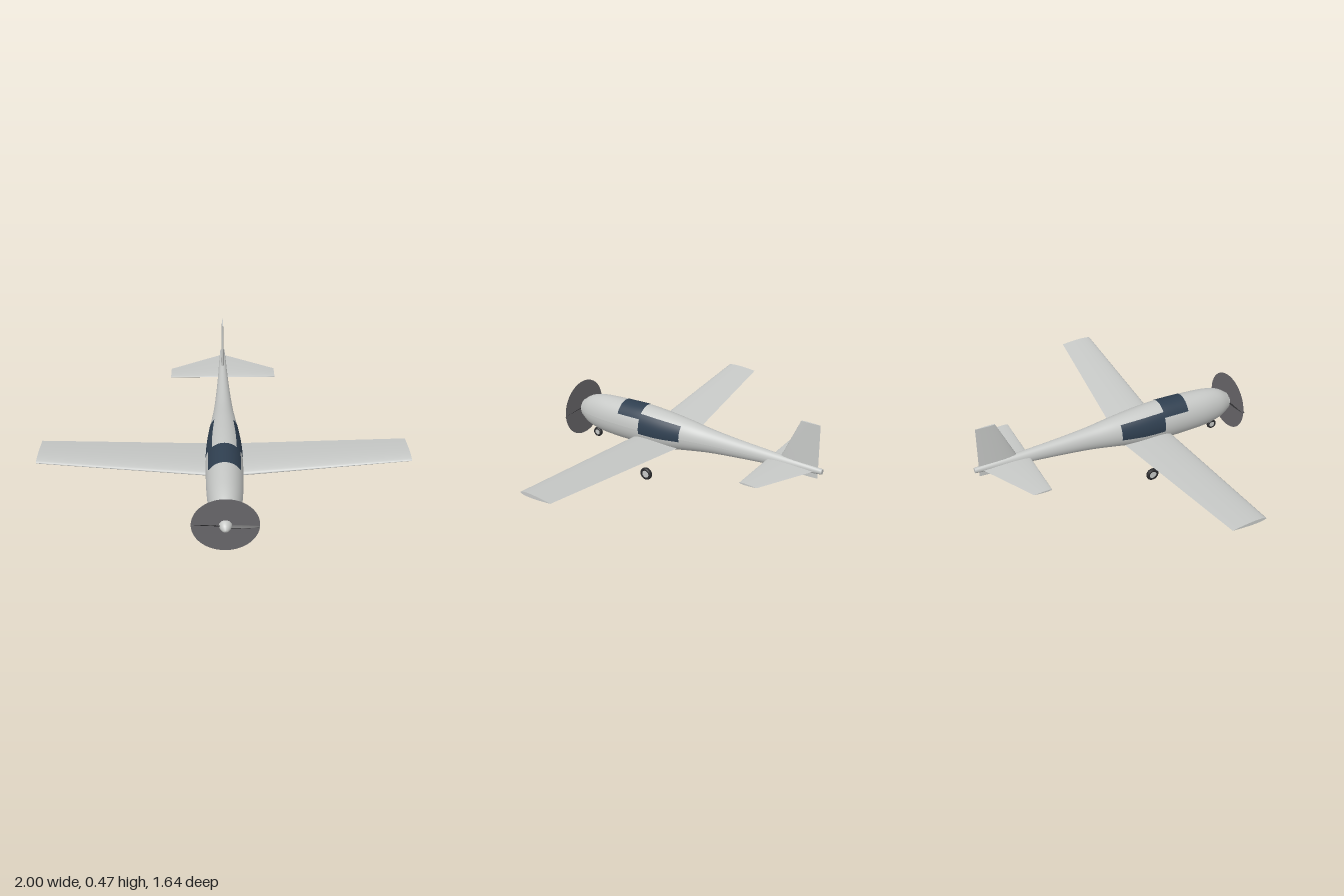
import * as THREE from 'three';
import { mergeGeometries } from 'three/addons/utils/BufferGeometryUtils.js';

const paint = (name, color, side = THREE.FrontSide) => {
  const m = new THREE.MeshStandardMaterial({ color, side });
  m.name = name;
  return m;
};

// Smooth surface through a grid of points from fn(u, v)
function surface(fn, nu, nv) {
  const pos = [], idx = [];
  for (let i = 0; i <= nu; i++)
    for (let j = 0; j <= nv; j++) pos.push(...fn(i / nu, j / nv));
  for (let i = 0; i < nu; i++)
    for (let j = 0; j < nv; j++) {
      const a = i * (nv + 1) + j, b = a + nv + 1;
      idx.push(a, b, a + 1, b, b + 1, a + 1);
    }
  const g = new THREE.BufferGeometry();
  g.setAttribute('position', new THREE.Float32BufferAttribute(pos, 3));
  g.setIndex(idx);
  g.computeVertexNormals();
  return g;
}

// Fuselage stations: z, top, bottom, half width
const STATIONS = [
  [0.765, 0.228, 0.122, 0.042], [0.71, 0.267, 0.089, 0.068], [0.64, 0.289, 0.071, 0.084],
  [0.55, 0.299, 0.063, 0.094], [0.38, 0.306, 0.062, 0.1], [0.29, 0.308, 0.064, 0.1],
  [0.16, 0.301, 0.073, 0.095], [0, 0.286, 0.104, 0.077], [-0.15, 0.268, 0.13, 0.057],
  [-0.325, 0.255, 0.15, 0.042], [-0.5, 0.246, 0.167, 0.031], [-0.68, 0.237, 0.182, 0.022],
  [-0.82, 0.228, 0.198, 0.014],
];

// Point on the fuselage skin at station z and angle a, pushed out by lift
function skin(z, a, lift = 0) {
  const S = STATIONS, last = S.length - 1;
  let k = 0;
  while (k < last - 1 && z < S[k + 1][0]) k++;
  const h = S[k + 1][0] - S[k][0], t = (z - S[k][0]) / h;
  const slope = (i, c) => {
    const p = S[Math.max(i - 1, 0)], n = S[Math.min(i + 1, last)];
    return (n[c] - p[c]) / (n[0] - p[0]);
  };
  const at = (c) => {
    const t2 = t * t, t3 = t2 * t;
    return (2 * t3 - 3 * t2 + 1) * S[k][c] + (t3 - 2 * t2 + t) * h * slope(k, c)
      + (3 * t2 - 2 * t3) * S[k + 1][c] + (t3 - t2) * h * slope(k + 1, c);
  };
  const top = at(1), bottom = at(2);
  return [Math.cos(a) * (at(3) + lift), (top + bottom) / 2 + Math.sin(a) * ((top - bottom) / 2 + lift), z];
}

// Aerofoil loft; sections are [span x, height y, front z, back z, thickness]
function foil(sections) {
  const N = 28;
  const point = ([x, y, front, back, thick], v) => {
    const s = v * 2 - 1, c = s * s;           // 0 at the leading edge, 1 at the trailing edge
    const half = 5 * thick * (0.2969 * Math.sqrt(c) - 0.126 * c - 0.3516 * c * c
      + 0.2843 * c ** 3 - 0.1036 * c ** 4);
    return [x, y + Math.sign(s) * half, front + (back - front) * c];
  };
  const loft = (list) => surface((u, v) => point(list[Math.round(u * (list.length - 1))], v), list.length - 1, N);
  const flat = (s) => [...s.slice(0, 4), 0];
  const first = sections[0], end = sections[sections.length - 1];
  return mergeGeometries([loft(sections), loft([flat(first), first]), loft([end, flat(end)])]);
}

// Sections for a surface that is the same on both sides
const bothSides = (half) => [...half.map(([x, ...r]) => [-x, ...r]).reverse(), ...half];

export function createModel() {
  const model = new THREE.Group();
  model.name = 'lightAircraft';
  const body = paint('light grey paint', 0xc6c8c6);
  const glass = paint('dark blue glass', 0x2f3f50);
  const rubber = paint('black rubber', 0x2b2b2d);
  const blur = paint('propeller disc grey', 0x68666a, THREE.DoubleSide);

  const add = (name, geometry, material, parent = model) => {
    const m = new THREE.Mesh(geometry, material);
    m.name = name;
    parent.add(m);
    return m;
  };

  // Fuselage with flat nose and tail ends
  const TAU = Math.PI * 2, deg = Math.PI / 180;
  add('fuselage', surface((u, v) => skin(0.765 - 1.585 * u, v * TAU), 80, 48), body);
  add('noseFace', surface((u, v) => {
    const p = skin(0.765, v * TAU);
    return [p[0] * u, 0.175 + (p[1] - 0.175) * u, 0.765];
  }, 1, 48), body);
  add('tailFace', surface((u, v) => {
    const p = skin(-0.82, v * TAU);
    return [p[0] * (1 - u), 0.213 + (p[1] - 0.213) * (1 - u), -0.82];
  }, 1, 48), body);

  // Windscreen and side windows hug the skin
  const pane = (name, z0, z1, a0, a1) => add(name, surface((u, v) =>
    skin(z0 + (z1 - z0) * u, (a0 + (a1 - a0) * v) * deg, 0.0015), 16, 24), glass);
  pane('windscreen', 0.445, 0.288, 32, 148);
  pane('leftWindow', 0.288, 0.02, -10, 49);
  pane('rightWindow', 0.288, 0.02, 131, 190);

  // Wing and tailplane
  add('wing', foil(bothSides([
    [0.04, 0.119, 0.332, 0.045, 0.042], [0.1, 0.125, 0.332, 0.052, 0.041], [1, 0.214, 0.332, 0.135, 0.022],
  ])), body);
  add('tailplane', foil(bothSides([
    [0.005, 0.207, -0.513, -0.78, 0.018], [0.32, 0.207, -0.513, -0.612, 0.009],
  ])), body);

  // Fin, lofted sideways and turned upright
  const fin = add('fin', foil([
    [0.165, 0, -0.66, -0.796, 0.01], [0.23, 0, -0.578, -0.795, 0.018], [0.47, 0, -0.683, -0.79, 0.009],
  ]), body);
  fin.rotation.z = Math.PI / 2;

  // Propeller: spinner, two pitched blades and the swept disc
  const propeller = new THREE.Group();
  propeller.name = 'propeller';
  propeller.position.set(0, 0.175, 0.775);
  propeller.rotation.z = -0.04;
  model.add(propeller);
  const profile = [[0.034, -0.012], [0.033, 0], [0.029, 0.014], [0.021, 0.029], [0.011, 0.039], [0, 0.043]];
  const spinner = add('spinner', new THREE.LatheGeometry(
    profile.map(([r, y]) => new THREE.Vector2(r, y)), 32), body, propeller);
  spinner.rotation.x = Math.PI / 2;
  add('propellerDisc', new THREE.CircleGeometry(0.17, 64), blur, propeller);
  for (const side of [0, 1]) {
    const arm = new THREE.Group();
    arm.name = side ? 'rightBladeArm' : 'leftBladeArm';
    arm.rotation.z = side * Math.PI;
    propeller.add(arm);
    const blade = add('blade', foil([
      [0.015, 0, 0.014, -0.014, 0.006], [0.08, 0, 0.012, -0.012, 0.004], [0.169, 0, 0.005, -0.005, 0.002],
    ]), rubber, arm);
    blade.rotation.x = 0.7;
    blade.position.z = 0.004;
  }

  // Wheels: rounded tyre around a pale hub
  const wheel = (name, x, z, r, y) => {
    const g = new THREE.Group();
    g.name = name;
    g.position.set(x, y, z);
    g.rotation.z = Math.PI / 2;
    model.add(g);
    const w = 0.011, hub = r * 0.58;
    const ring = [[hub, -w * 0.8], [r * 0.75, -w], [r * 0.93, -w * 0.85], [r, -w * 0.4],
      [r, w * 0.4], [r * 0.93, w * 0.85], [r * 0.75, w], [hub, w * 0.8]];
    add('tyre', new THREE.LatheGeometry(ring.map(([a, b]) => new THREE.Vector2(a, b)), 32), rubber, g);
    add('hub', new THREE.CylinderGeometry(hub, hub, w * 1.6, 32), body, g);
  };
  wheel('noseWheel', 0, 0.673, 0.029, 0.032);
  wheel('leftWheel', 0.265, 0.112, 0.036, 0.036);
  wheel('rightWheel', -0.265, 0.112, 0.036, 0.036);

  return model;
}
